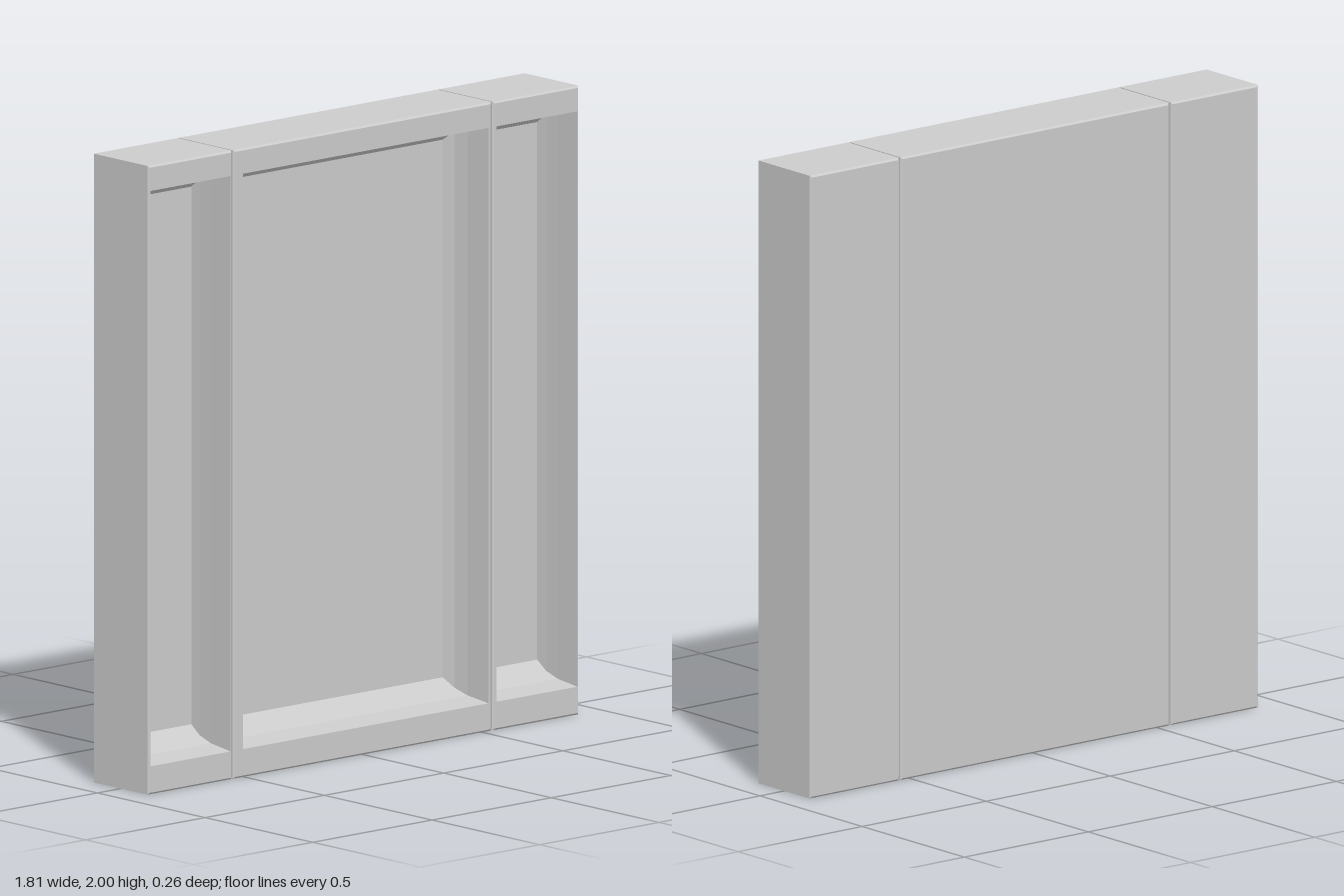
import * as THREE from 'three';

const grey = new THREE.MeshStandardMaterial({ color: 0xcccccc });
const BACK = -0.13, FRONT = 0.13, PANEL = -0.045, BEVEL = 0.006;

// Rectangular cross-section, counter-clockwise seen from the front
function ring(x0, x1, y0, y1, z) {
  return [[x0, y0, z], [x1, y0, z], [x1, y1, z], [x0, y1, z]];
}

// Join successive rectangles with flat faces; closes the first one as the back
function loft(rings) {
  const pos = [];
  const quad = (a, b, c, d) => pos.push(...a, ...b, ...c, ...a, ...c, ...d);
  const [p, q, r, s] = rings[0];
  quad(p, s, r, q);
  for (let i = 0; i < rings.length - 1; i++) {
    const a = rings[i], b = rings[i + 1];
    for (let j = 0; j < 4; j++) {
      const k = (j + 1) % 4;
      quad(a[j], a[k], b[k], b[j]);
    }
  }
  const geo = new THREE.BufferGeometry();
  geo.setAttribute('position', new THREE.Float32BufferAttribute(pos, 3));
  geo.computeVertexNormals();
  return geo;
}

function add(parent, name, geo) {
  const mesh = new THREE.Mesh(geo, grey);
  mesh.name = name;
  parent.add(mesh);
  return mesh;
}

// One bay: bevelled block with a coved recess ending at a flat panel
function makeBay(name, [x0, x1], [o0, o1], [p0, p1]) {
  const bay = new THREE.Group();
  bay.name = name;
  const mix = (a, b, t) => a + (b - a) * t;
  const recess = (t, z) => ring(mix(o0, p0, t), mix(o1, p1, t), mix(0.09, 0.15, t), mix(1.92, 1.86, t), z);
  add(bay, 'frame', loft([
    ring(x0 + BEVEL, x1 - BEVEL, BEVEL, 2 - BEVEL, BACK),
    ring(x0, x1, 0, 2, BACK + BEVEL),
    ring(x0, x1, 0, 2, FRONT - BEVEL),
    ring(x0 + BEVEL, x1 - BEVEL, BEVEL, 2 - BEVEL, FRONT),
    recess(0, FRONT),
    recess(0.2, 0.04),
    recess(0.5, -0.01),
    recess(1, PANEL),
  ]));
  const panel = add(bay, 'panel', new THREE.PlaneGeometry(p1 - p0, 1.71));
  panel.position.set((p0 + p1) / 2, 1.005, PANEL);
  return bay;
}

export function createModel() {
  const model = new THREE.Group();
  model.name = 'threeBayFrame';

  model.add(makeBay('rightBay', [-0.903, -0.552], [-0.894, -0.559], [-0.884, -0.566]));
  model.add(makeBay('centreBay', [-0.546, 0.537], [-0.508, 0.522], [-0.477, 0.488]));
  model.add(makeBay('leftBay', [0.543, 0.903], [0.556, 0.894], [0.566, 0.884]));

  // Sunken strips closing the bottom of the grooves between bays
  for (const [name, x] of [['rightSeam', -0.549], ['leftSeam', 0.54]]) {
    const seam = add(model, name, new THREE.BoxGeometry(0.008, 1.976, 0.236));
    seam.position.set(x, 1, 0);
  }
  return model;
}
